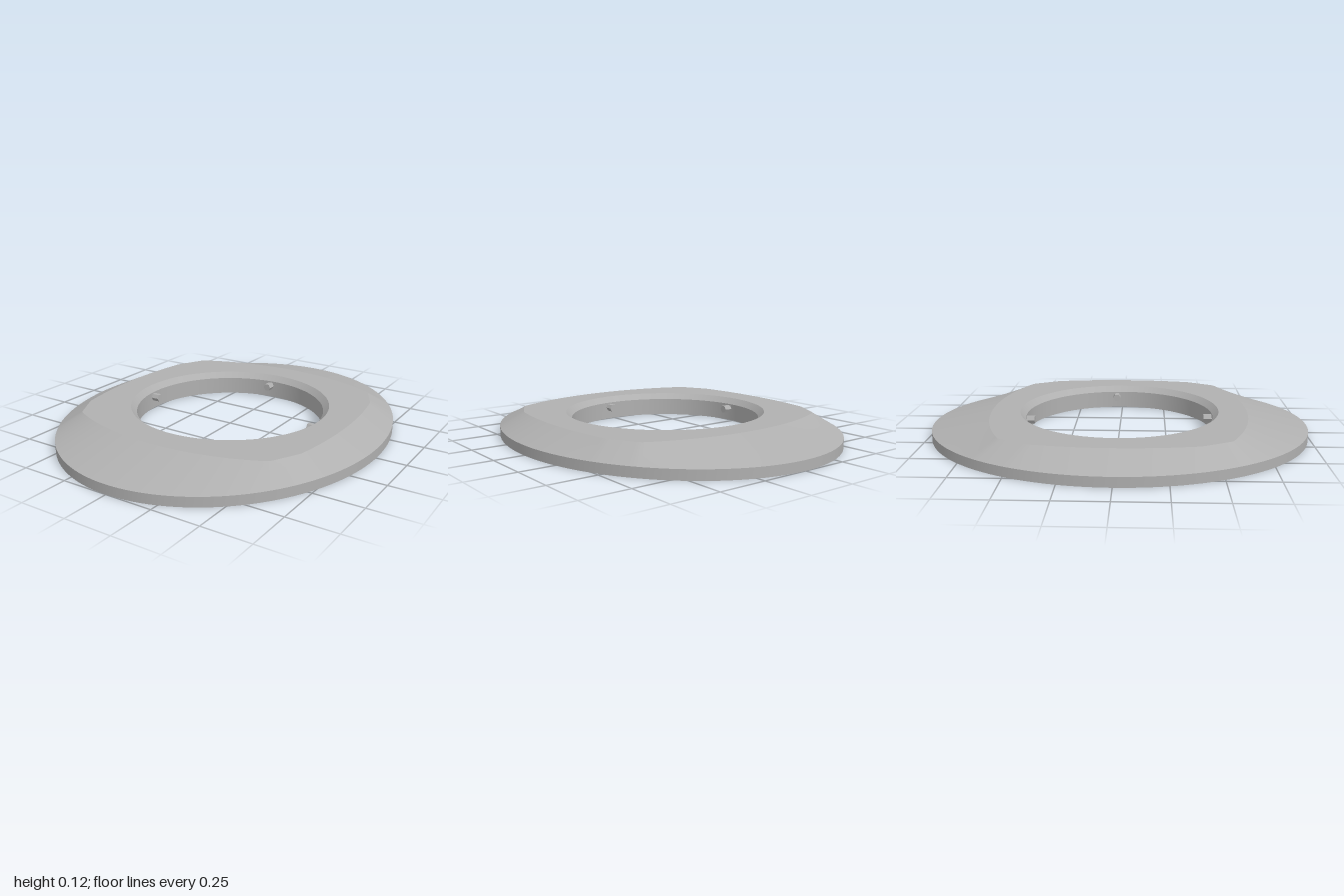
import * as THREE from 'three';
import { mergeGeometries } from 'three/addons/utils/BufferGeometryUtils.js';

// Each loop is a function angle -> [x, y, z]; neighbouring loops are joined by
// a band that is smooth around the loop and sharp at its edges.
function loft(loops, n, start = 0, flat = false) {
  const bands = [];
  for (let k = 0; k + 1 < loops.length; k++) {
    const pos = [], idx = [];
    for (let i = 0; i < n; i++) {
      const t = start + (i / n) * Math.PI * 2;
      pos.push(...loops[k](t), ...loops[k + 1](t));
      const a = 2 * i, c = 2 * ((i + 1) % n);
      idx.push(a, a + 1, c, a + 1, c + 1, c);
    }
    let g = new THREE.BufferGeometry();
    g.setAttribute('position', new THREE.Float32BufferAttribute(pos, 3));
    g.setIndex(idx);
    if (flat) g = g.toNonIndexed();
    g.computeVertexNormals();
    bands.push(g);
  }
  return mergeGeometries(bands);
}

const polar = (radius, y) => (t) => {
  const r = typeof radius === 'number' ? radius : radius(Math.cos(t), Math.sin(t));
  return [r * Math.cos(t), y, r * Math.sin(t)];
};
const ellipse = (a, b) => (c, s) => 1 / Math.hypot(c / a, s / b);

const RX = 0.845, RZ = 1, TOP = 0.125;
const rim = ellipse(RX, RZ);
// Flat top: two crossing arcs with the four corners cut off
const sideArc = ellipse(0.68, 1.18), endArc = ellipse(0.95, 0.68);
const plateau = (c, s) => Math.min(
  sideArc(c, s), endArc(c, s), 12.8 / (15 * Math.abs(c) + 8 * Math.abs(s)));

export function createModel() {
  const model = new THREE.Group();
  const grey = new THREE.MeshStandardMaterial({ color: 0xb0b0b0 });
  grey.name = 'grey';
  const add = (name, geometry) => {
    const mesh = new THREE.Mesh(geometry, grey);
    mesh.name = name;
    model.add(mesh);
    return mesh;
  };

  // Oval ring: outer wall, slope, flat top, inner chamfer, bore
  add('ringBody', loft([
    polar(rim, 0), polar(rim, 0.05), polar(plateau, TOP),
    polar(0.53, TOP), polar(0.5, 0.094), polar(0.5, 0),
  ], 240));

  // Underside with bore, screw holes and square recess cut out
  const base = new THREE.Shape().absellipse(0, 0, RX, RZ, 0, Math.PI * 2);
  const cut = (x, z, r) => base.holes.push(
    new THREE.Path().absarc(x, z, r, 0, Math.PI * 2, true));
  cut(0, 0, 0.5);
  const holeR = 0.033, holeAt = 0.44;
  const corners = [[1, 1], [1, -1], [-1, 1], [-1, -1]];
  corners.forEach(([x, z]) => cut(x * holeAt, z * holeAt, holeR));
  const h = 0.042, recessZ = -0.63;
  base.holes.push(new THREE.Path([[-h, -h], [-h, h], [h, h], [h, -h]]
    .map(([x, z]) => new THREE.Vector2(x, recessZ + z))));
  add('underside', new THREE.ShapeGeometry(base, 120).rotateX(Math.PI / 2));

  // Blind screw holes
  const holeGeo = loft([polar(0, 0.09), polar(holeR, 0.09), polar(holeR, 0)], 32);
  corners.forEach(([x, z]) =>
    add('screwHole', holeGeo).position.set(x * holeAt, 0, z * holeAt));

  // Shallow square recess
  const d = h * Math.SQRT2;
  add('squareRecess', loft([polar(0, 0.01), polar(d, 0.01), polar(d, 0)], 4, Math.PI / 4, true))
    .position.z = recessZ;

  // Four small locating pegs inside the bore, slightly off axis
  const pegGeo = new THREE.CylinderGeometry(0.022, 0.022, 0.05, 6)
    .toNonIndexed().rotateZ(Math.PI / 2);
  pegGeo.computeVertexNormals();
  for (let i = 0; i < 4; i++) {
    const holder = new THREE.Group();
    holder.name = 'locatingPeg';
    const peg = new THREE.Mesh(pegGeo, grey);
    peg.name = 'peg';
    peg.position.set(0.48, 0.067, -0.033);
    holder.add(peg);
    holder.rotation.y = (i * Math.PI) / 2;
    model.add(holder);
  }
  return model;
}
